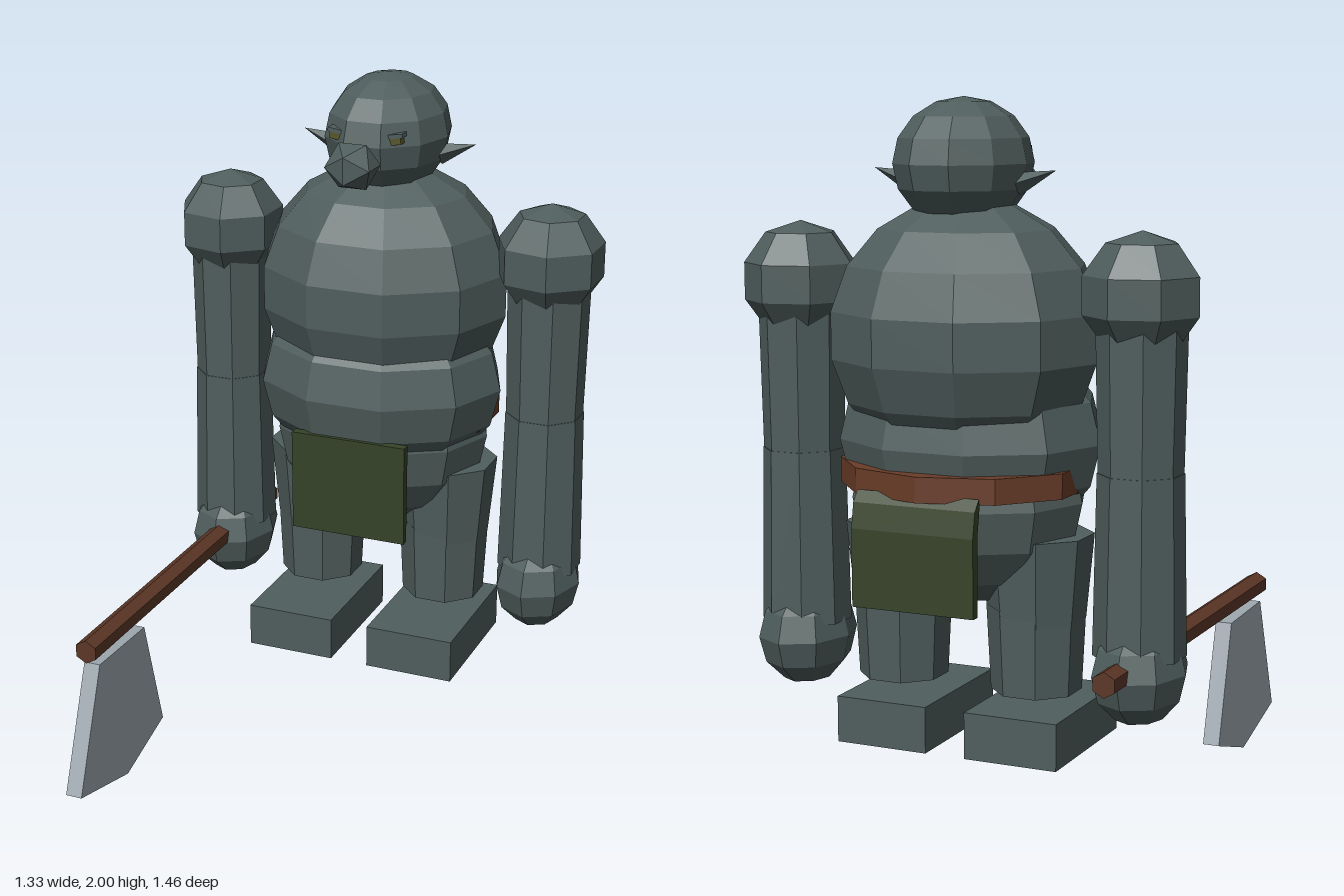
import * as THREE from 'three';

const mat = (name, color) => {
  const m = new THREE.MeshStandardMaterial({ color, flatShading: true });
  m.name = name;
  return m;
};

export function createModel() {
  const root = new THREE.Group();
  const skin = mat('slateSkin', 0x4f5e5d);
  const cloth = mat('greenCloth', 0x364329);
  const leather = mat('brownLeather', 0x693c28);
  const wood = mat('darkWood', 0x5c3727);
  const steel = mat('steel', 0x9fa8b0);
  const eyeMat = mat('oliveEye', 0x55552a);

  const add = (name, geo, m, x, y, z, parent = root) => {
    const mesh = new THREE.Mesh(geo, m);
    mesh.name = name;
    mesh.position.set(x, y, z);
    parent.add(mesh);
    return mesh;
  };
  // Faceted ellipsoid with its poles on the y axis
  const ball = (rx, ry, rz, seg, rings) =>
    new THREE.SphereGeometry(1, seg, rings).scale(rx, ry, rz);
  // Plate cut from a [z, y] outline, extruded along x and centred on x = 0
  const plate = (points, width) => {
    const shape = new THREE.Shape(points.map(([z, y]) => new THREE.Vector2(-z, y)));
    return new THREE.ExtrudeGeometry(shape, { depth: width, bevelEnabled: false })
      .translate(0, 0, -width / 2).rotateY(Math.PI / 2);
  };

  // Torso
  add('chest', ball(0.39, 0.375, 0.352, 10, 9), skin, 0, 1.36, -0.395);
  add('belly', ball(0.385, 0.3, 0.322, 10, 8), skin, 0, 1.07, -0.366);
  add('pelvis', ball(0.34, 0.3, 0.29, 10, 8), skin, 0, 0.91, -0.385);
  add('belt', new THREE.CylinderGeometry(1, 1, 0.07, 10).scale(0.352, 1, 0.295),
    leather, 0, 0.978, -0.42);

  // Loincloth panels
  add('frontCloth', plate([[-0.075, 0.65], [-0.07, 0.96], [-0.1, 0.96], [-0.098, 0.65]], 0.36),
    cloth, 0.01, 0, 0);
  add('backCloth', plate([[-0.718, 0.645], [-0.718, 0.86], [-0.705, 0.93], [-0.68, 0.96],
    [-0.675, 0.94], [-0.69, 0.86], [-0.69, 0.645]], 0.36), cloth, 0.01, 0, 0);

  // Head
  const head = new THREE.Group();
  head.name = 'head';
  root.add(head);
  add('skull', ball(0.185, 0.178, 0.225, 10, 8), skin, 0.005, 1.822, -0.397, head);
  add('nose', new THREE.IcosahedronGeometry(0.085, 0).scale(0.95, 0.9, 1), skin,
    0.005, 1.782, -0.115, head);

  for (const [side, s] of [['left', 1], ['right', -1]]) {
    // Face details
    add(side + 'Eye', new THREE.BoxGeometry(0.045, 0.02, 0.03), eyeMat,
      0.005 + s * 0.088, 1.84, -0.222, head).rotation.z = s * 0.15;
    add(side + 'Eyelid', new THREE.BoxGeometry(0.055, 0.012, 0.036), skin,
      0.005 + s * 0.088, 1.855, -0.224, head).rotation.z = s * 0.15;
    add(side + 'Ear', new THREE.ConeGeometry(0.032, 0.12, 4), skin,
      0.005 + s * 0.215, 1.787, -0.4, head).rotation.z = -s * 1.25;

    // Arm
    const ax = s * 0.515;
    const arm = new THREE.Group();
    arm.name = side + 'Arm';
    root.add(arm);
    add('shoulder', ball(0.168, 0.17, 0.17, 7, 5), skin, ax, 1.485, -0.4, arm);
    add('upperArm', new THREE.CylinderGeometry(0.125, 0.115, 0.52, 8), skin,
      ax, 1.23, -0.4, arm).rotation.y = Math.PI / 8;
    add('forearm', new THREE.CylinderGeometry(0.118, 0.128, 0.5, 8), skin,
      ax, 0.76, -0.4, arm).rotation.y = Math.PI / 8;
    add('hand', ball(0.132, 0.15, 0.17, 8, 6), skin, ax, 0.467, -0.395, arm);

    // Leg
    const leg = new THREE.Group();
    leg.name = side + 'Leg';
    root.add(leg);
    add('thigh', new THREE.CylinderGeometry(0.158, 0.135, 0.24, 8), skin,
      s * 0.208, 0.7, -0.39, leg).rotation.y = Math.PI / 8;
    add('shin', new THREE.CylinderGeometry(0.138, 0.126, 0.24, 8), skin,
      s * 0.206, 0.5, -0.39, leg).rotation.y = Math.PI / 8;
    add('foot', new THREE.BoxGeometry(0.275, 0.132, 0.44), skin,
      s * 0.197, 0.268, -0.33, leg);
  }

  // Axe held in the right hand
  const axe = new THREE.Group();
  axe.name = 'axe';
  root.add(axe);
  add('axeHandle', new THREE.CylinderGeometry(0.036, 0.036, 1.265, 6).rotateX(Math.PI / 2),
    wood, -0.507, 0.486, -0.003, axe);
  add('axeBlade', plate([[0.6, 0.437], [0.325, 0.43], [0.225, 0.075], [0.46, 0.003],
    [0.74, 0.073]], 0.05), steel, -0.505, 0, 0, axe);

  return root;
}
